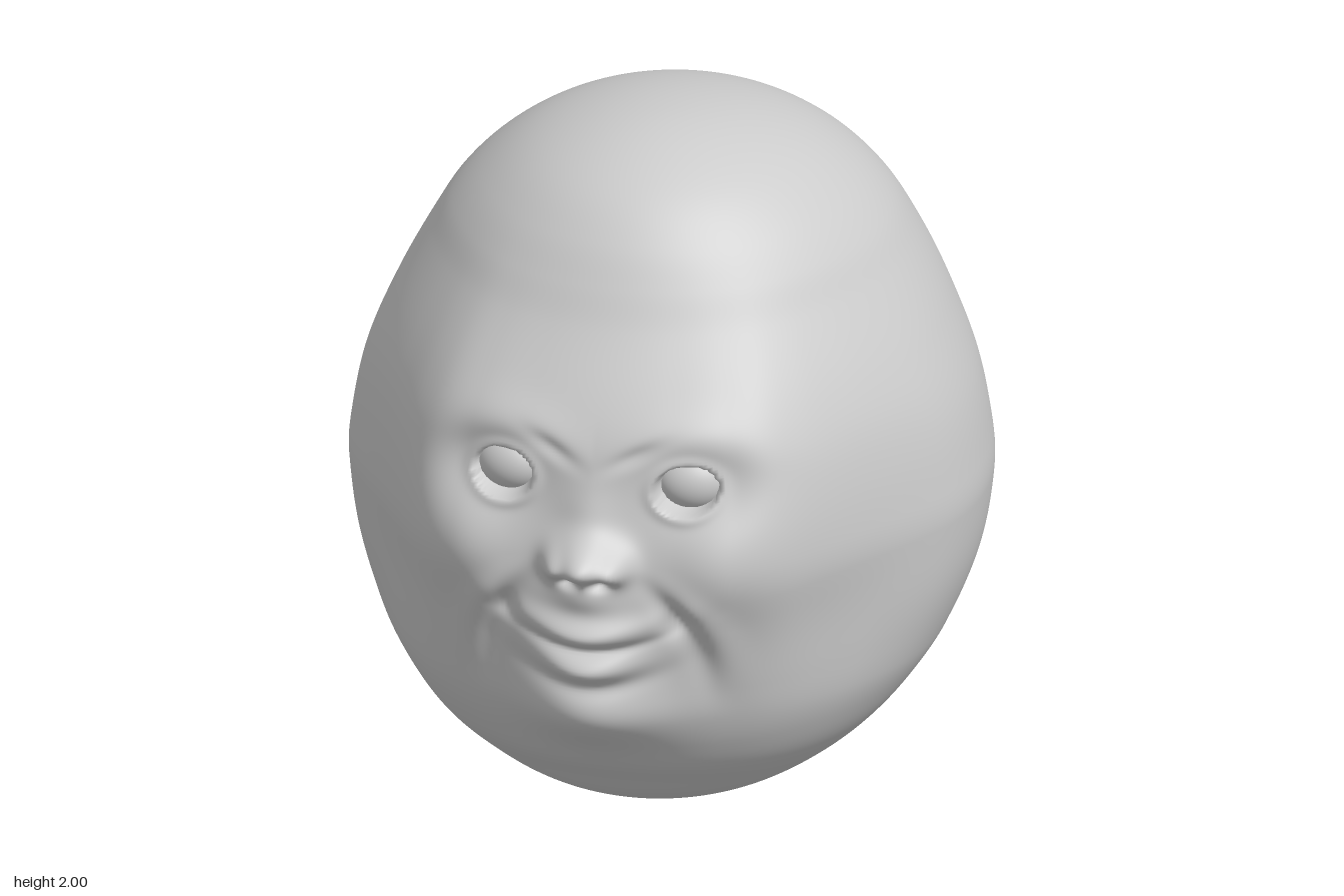
import * as THREE from 'three';

const { smoothstep } = THREE.MathUtils;

// Smooth curve through a few [key, value] pairs
function curve(points, key = (k) => k) {
  const k = points.map((p) => key(p[0])), v = points.map((p) => p[1]), last = k.length - 1;
  const slope = v.map((_, i) => {
    const a = Math.max(i - 1, 0), b = Math.min(i + 1, last);
    return (v[b] - v[a]) / (k[b] - k[a]);
  });
  return (q) => {
    const x = THREE.MathUtils.clamp(key(q), k[0], k[last]);
    let i = 0;
    while (i < last - 1 && x > k[i + 1]) i++;
    const h = k[i + 1] - k[i], t = (x - k[i]) / h, t2 = t * t, t3 = t2 * t;
    return v[i] * (2 * t3 - 3 * t2 + 1) + v[i + 1] * (3 * t2 - 2 * t3)
      + h * (slope[i] * (t3 - 2 * t2 + t) + slope[i + 1] * (t3 - t2));
  };
}

// Height as an angle, so the outlines close roundly at both poles
const polar = (y) => Math.acos(THREE.MathUtils.clamp(1 - y, -1, 1));

// Skull outlines by height: half width, front depth, back depth
const width = curve([[0, 0], [0.03, 0.223], [0.1, 0.4], [0.2, 0.55], [0.3, 0.653], [0.4, 0.73], [0.5, 0.79],
  [0.7, 0.866], [0.9, 0.896], [1.0, 0.89], [1.2, 0.85], [1.4, 0.772], [1.6, 0.67], [1.7, 0.61], [1.8, 0.52],
  [1.9, 0.385], [1.97, 0.215], [2, 0]], polar);
const front = curve([[0, 0], [0.03, 0.25], [0.1, 0.43], [0.2, 0.565], [0.3, 0.665], [0.4, 0.72], [0.5, 0.748],
  [0.6, 0.76], [0.8, 0.78], [1.0, 0.8], [1.2, 0.8], [1.3, 0.785], [1.4, 0.74], [1.6, 0.605], [1.7, 0.545],
  [1.8, 0.475], [1.9, 0.365], [1.97, 0.21], [2, 0]], polar);
const back = curve([[0, 0], [0.03, 0.21], [0.1, 0.39], [0.2, 0.555], [0.3, 0.672], [0.4, 0.757], [0.6, 0.873],
  [0.8, 0.945], [1.0, 0.97], [1.2, 0.955], [1.4, 0.905], [1.6, 0.81], [1.7, 0.738], [1.8, 0.64],
  [1.9, 0.48], [1.97, 0.27], [2, 0]], polar);

// Flat face and tapered temples, as a factor on an elliptical front half
const faceShape = curve([[-0.25, 1.015], [0, 1], [0.25, 1.015], [0.45, 1.055], [0.58, 1.07], [0.68, 1.02],
  [0.8, 0.92], [0.92, 0.87], [1, 0.93]]);

// Line of the smile fold, from nostril to jaw
const foldX = curve([[0.45, 0.33], [0.6, 0.32], [0.75, 0.29], [0.85, 0.245], [1.0, 0.14]]);

const EYE = { x: 0.26, y: 1.213 };
const bump = (x, y, cx, cy, sx, sy, h) =>
  h * Math.exp(-0.5 * (((x - cx) / sx) ** 2 + ((y - cy) / sy) ** 2));

// Forward relief of the face; both sides are alike
function relief(x, y) {
  const ax = Math.abs(x), ly = y - 0.9 * ax * ax;
  let z = 0;
  // cheeks, the hollows behind them, muzzle and chin
  z += bump(ax, y, 0.37, 0.99, 0.12, 0.13, 0.06);
  z += bump(ax, y, 0.62, 0.74, 0.1, 0.13, -0.03);
  z += bump(ax, y, 0, 0.8, 0.17, 0.16, 0.095);
  z += bump(ax, y, 0, 0.53, 0.15, 0.085, 0.105);
  z += bump(ax, y, 0, 0.23, 0.25, 0.04, -0.01);
  // lips
  z += bump(ax, ly, 0, 0.797, 0.12, 0.028, 0.045);
  z += bump(ax, ly, 0, 0.69, 0.1, 0.032, 0.055);
  z += bump(ax, ly, 0, 0.748, 0.12, 0.013, -0.018);
  z += bump(ax, ly, 0, 0.632, 0.11, 0.022, -0.015);
  z += bump(ax, y, 0.24, 0.83, 0.022, 0.03, -0.025);
  // smile folds
  const fold = smoothstep(y, 0.5, 0.8) * (1 - smoothstep(y, 0.84, 1.0));
  z += fold * bump(ax, 0, foldX(y), 0, 0.028, 1, -0.018);
  z += fold * bump(ax, 0, foldX(y) + 0.07, 0, 0.04, 1, 0.014);
  // nose
  z += bump(ax, y, 0, 1.045, 0.06, 0.035, 0.065);
  z += bump(ax, y, 0, 1.0, 0.06, 0.033, 0.085);
  z += bump(ax, y, 0, 1.12, 0.055, 0.07, 0.025);
  z += bump(ax, y, 0, 0.915, 0.06, 0.035, 0.025);
  z += bump(ax, y, 0.09, 1.0, 0.026, 0.032, 0.05);
  z += bump(ax, y, 0.045, 0.958, 0.022, 0.014, -0.035);
  // brows and frown
  z += bump(ax, y + (ax - 0.26) ** 2, 0.26, 1.36, 0.13, 0.045, 0.02);
  z += bump(ax, y - 0.45 * (ax - 0.1), 0.12, 1.3, 0.05, 0.018, -0.014);
  // sunken eye area, thin lids and socket
  z += bump(ax, y, 0.32, 1.22, 0.11, 0.08, -0.045);
  const r = Math.hypot((ax - EYE.x) / 0.086, (y - EYE.y) / 0.07);
  z += 0.01 * Math.exp(-0.5 * ((r - 1.1) / 0.18) ** 2);
  z -= 0.06 * (1 - smoothstep(r, 0.85, 1.02));
  return z;
}

// Point on the skin at a height and an angle around the head, 0 being the front
function skinPoint(y, phi) {
  const w = width(y), f = front(y), b = back(y);
  const u = Math.sin(phi), v = Math.cos(phi), mid = (f - b) / 2, depth = (f + b) / 2;
  const x = w * u;
  if (v <= 0) return [x, y, mid + depth * v];
  const blend = smoothstep(y, 0.1, 0.95) * (1 - smoothstep(y, 1.15, 1.85));
  const shape = 1 + blend * (faceShape(Math.abs(u)) - 1);
  return [x, y, mid + depth * v * shape + relief(x, y) * smoothstep(v, 0.1, 0.5)];
}

// Skin as stacked rings, closest together on the face
function skinGeometry(rings = 270, sides = 230) {
  const positions = [], index = [];
  for (let i = 0; i <= rings; i++) {
    const s = i / rings;
    const y = 1 - Math.cos(Math.PI * (s + 0.09 * Math.sin(2 * Math.PI * s)));
    for (let j = 0; j < sides; j++) {
      const t = (j / sides) * Math.PI * 2;
      positions.push(...skinPoint(y, t - 0.6 * Math.sin(t)));
    }
  }
  const at = (i, j) => i * sides + (i === 0 || i === rings ? 0 : j % sides);
  for (let i = 0; i < rings; i++) {
    for (let j = 0; j < sides; j++) {
      const a = at(i, j), b = at(i, j + 1), c = at(i + 1, j + 1), d = at(i + 1, j);
      if (i > 0) index.push(a, b, c);
      if (i < rings - 1) index.push(a, c, d);
    }
  }
  const geometry = new THREE.BufferGeometry();
  geometry.setAttribute('position', new THREE.Float32BufferAttribute(positions, 3));
  geometry.setIndex(index);
  geometry.computeVertexNormals();
  return geometry;
}

export function createModel() {
  const model = new THREE.Group();
  model.name = 'head';
  const material = new THREE.MeshStandardMaterial({ color: 0xcccccc });

  const skin = new THREE.Mesh(skinGeometry(), material);
  skin.name = 'skin';
  model.add(skin);

  // eyeballs
  const ball = new THREE.SphereGeometry(0.1, 40, 28);
  for (const side of [-1, 1]) {
    const eye = new THREE.Mesh(ball, material);
    eye.name = side > 0 ? 'leftEye' : 'rightEye';
    eye.scale.set(1, 0.84, 0.75);
    eye.position.set(side * EYE.x, EYE.y, 0.678);
    eye.rotation.y = side * 0.25;
    model.add(eye);
  }
  return model;
}
